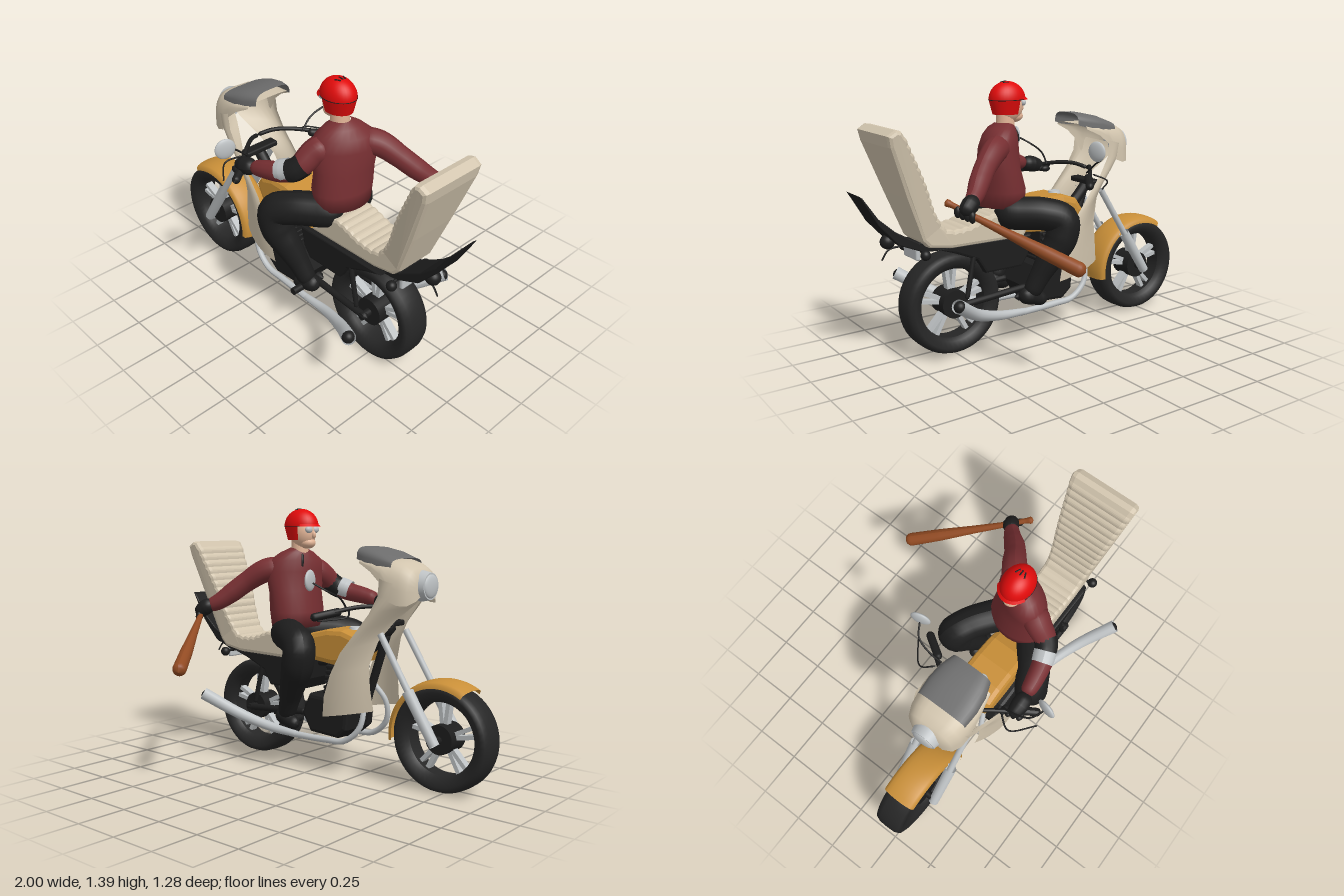
import * as THREE from 'three';
import { RoundedBoxGeometry } from 'three/addons/geometries/RoundedBoxGeometry.js';

const V = (x, y, z) => new THREE.Vector3(x, y, z);
const mat = (name, color, side = THREE.FrontSide) => {
  const m = new THREE.MeshStandardMaterial({ color, side });
  m.name = name;
  return m;
};

// Sheet or closed skin through rows of points
function grid(rows, closed = false) {
  const n = rows[0].length, idx = [];
  for (let i = 0; i < rows.length - 1; i++)
    for (let j = 0; j < (closed ? n : n - 1); j++) {
      const k = (j + 1) % n, a = i * n + j, b = i * n + k, c = a + n, d = b + n;
      idx.push(a, c, b, b, c, d);
    }
  const g = new THREE.BufferGeometry().setFromPoints(rows.flat());
  g.setIndex(idx);
  g.computeVertexNormals();
  return g;
}

// Tube with changing radius: points are [x, y, z, r], ends rounded
function limbGeo(pts, round = true, sides = 14, n = 32) {
  const curve = new THREE.CatmullRomCurve3(pts.map(p => V(p[0], p[1], p[2])));
  const g = new THREE.TubeGeometry(curve, n, 1, sides), pos = g.attributes.position, v = V(), len = curve.getLength();
  for (let i = 0; i <= n; i++) {
    const t = i / n, c = curve.getPointAt(t), f = curve.getUtoTmapping(t) * (pts.length - 1);
    const k = Math.min(Math.floor(f), pts.length - 2);
    let r = THREE.MathUtils.lerp(pts[k][3], pts[k + 1][3], f - k);
    const e = Math.min(1, Math.min(t, 1 - t) * len / r);
    if (round) r *= Math.max(0.01, Math.sqrt(1 - (1 - e) ** 2));
    for (let j = 0; j <= sides; j++) {
      v.fromBufferAttribute(pos, i * (sides + 1) + j).sub(c).multiplyScalar(r).add(c);
      pos.setXYZ(i * (sides + 1) + j, v.x, v.y, v.z);
    }
  }
  g.computeVertexNormals();
  return g;
}

// Side profile extruded about z = 0
function plate(pts, half, bevel = 0.012) {
  const g = new THREE.ExtrudeGeometry(new THREE.Shape(pts.map(p => new THREE.Vector2(...p))),
    { depth: 2 * (half - bevel), bevelSize: bevel, bevelThickness: bevel, bevelOffset: -bevel, bevelSegments: 2 });
  return g.translate(0, 0, bevel - half);
}

export function createModel() {
  const D = THREE.DoubleSide;
  const beige = mat('beige', 0xd2c5ae, D), black = mat('black', 0x1d1d1d, D), tyreMat = mat('tyre', 0x262626),
    mustard = mat('mustard', 0xc98f38, D), silver = mat('silver', 0xbec2c4, D), screenMat = mat('smoke grey', 0x6c6c6c, D),
    red = mat('red', 0xe00b0b, D), maroon = mat('maroon', 0x772f32), skin = mat('skin', 0xe2b496), wood = mat('wood', 0x914a22);
  const model = new THREE.Group(), bike = new THREE.Group(), rider = new THREE.Group();
  bike.name = 'motorcycle'; rider.name = 'rider';
  bike.position.z = 0.215;
  model.add(bike, rider);
  const add = (parent, name, geo, m, x = 0, y = 0, z = 0) => {
    const o = new THREE.Mesh(geo, m);
    o.name = name; o.position.set(x, y, z); parent.add(o);
    return o;
  };
  const limb = (parent, name, m, pts, round, sides, n) => add(parent, name, limbGeo(pts, round, sides, n), m);
  const across = (r, len, n = 24) => new THREE.CylinderGeometry(r, r, len, n).rotateX(Math.PI / 2);
  const ball = (r, sx = 1, sy = 1, sz = 1) => new THREE.SphereGeometry(r, 24, 16).scale(sx, sy, sz);
  const box = (w, h, d, r = 0.01) => new RoundedBoxGeometry(w, h, d, 2, r);

  // Wheels with five double spokes
  for (const [name, x] of [['frontWheel', -0.73], ['rearWheel', 0.5]]) {
    const w = new THREE.Group();
    w.name = name; w.position.set(x, 0.27, 0); bike.add(w);
    const prof = [[0.185, -0.04], [0.2, -0.065], [0.235, -0.081], [0.258, -0.072], [0.268, -0.045], [0.27, 0], [0.268, 0.045],
      [0.258, 0.072], [0.235, 0.081], [0.2, 0.065], [0.185, 0.04], [0.185, -0.04]].map(p => new THREE.Vector2(...p));
    add(w, 'tyre', new THREE.LatheGeometry(prof, 48).rotateX(Math.PI / 2), tyreMat);
    add(w, 'hub', across(0.075, 0.13), black);
    add(w, 'axle', across(0.02, 0.24), black);
    for (let i = 0; i < 10; i++) {
      const a = (Math.floor(i / 2) / 5) * Math.PI * 2 + Math.PI / 2 + (i % 2 ? 0.13 : -0.13);
      add(w, 'spoke', new THREE.BoxGeometry(0.14, 0.022, 0.04).translate(0.12, 0, 0), silver).rotation.z = a;
    }
  }

  // Front fender
  const fender = [];
  for (let i = 0; i <= 24; i++) {
    const a = THREE.MathUtils.degToRad(120 - 127 * i / 24), row = [];
    for (let j = 0; j <= 10; j++) {
      const b = Math.PI * j / 10, r = 0.262 + 0.038 * Math.sin(b) ** 0.6;
      row.push(V(-0.73 + r * Math.cos(a), 0.265 + r * Math.sin(a), 0.092 * Math.cos(b)));
    }
    fender.push(row);
  }
  add(bike, 'frontFender', grid(fender), mustard);

  // Head cowl and smoked screen, arched sections [x, top, bottom, half width]
  const arch = (rows, pow) => grid(rows.map(([x, t, b, h]) => Array.from({ length: 17 }, (_, j) => {
    const a = Math.PI * j / 16, c = Math.cos(a), s = Math.sin(a);
    return V(x, b + (t - b) * s ** pow, h * Math.sign(c) * Math.abs(c) ** pow);
  })));
  add(bike, 'headCowl', arch([[-0.605, 0.99, 0.98, 0.01], [-0.6, 1.06, 0.94, 0.09], [-0.575, 1.1, 0.92, 0.13],
    [-0.53, 1.125, 0.92, 0.15], [-0.48, 1.14, 0.94, 0.156], [-0.43, 1.14, 1.03, 0.157], [-0.37, 1.14, 1.08, 0.15], [-0.29, 1.14, 1.12, 0.135]], 0.6), beige);
  add(bike, 'windscreen', arch([[-0.485, 1.145, 1.105, 0.135], [-0.4, 1.18, 1.11, 0.14], [-0.32, 1.198, 1.12, 0.132], [-0.255, 1.202, 1.14, 0.108]], 0.6), screenMat);
  add(bike, 'headlampBezel', new THREE.CylinderGeometry(0.067, 0.078, 0.05, 28).rotateZ(Math.PI / 2), silver, -0.605, 1.012);
  add(bike, 'headlampLens', ball(0.06, 0.3), silver, -0.628, 1.012);

  // Leg shields on both sides, rows of [front x, y, z, rear x, y, z]
  const shield = [[-0.375, 0.37, 0.115, -0.085, 0.31, 0.17], [-0.36, 0.48, 0.125, -0.1, 0.42, 0.178], [-0.35, 0.6, 0.125, -0.14, 0.54, 0.178],
    [-0.39, 0.73, 0.1, -0.2, 0.66, 0.17], [-0.46, 0.83, 0.06, -0.29, 0.77, 0.163], [-0.54, 0.91, 0.02, -0.37, 0.87, 0.158],
    [-0.59, 0.96, 0, -0.42, 0.96, 0.156], [-0.6, 1.0, 0, -0.43, 1.05, 0.156]];
  for (const s of [1, -1]) {
    add(bike, 'legShield', grid(shield.map(([a, b, c, d, e, f]) => Array.from({ length: 9 }, (_, j) => {
      const t = j / 8;
      return V(a + (d - a) * t, b + (e - b) * t, s * (c + (f - c) * t + (0.1 + 1.2 * (0.125 - Math.min(c, 0.125))) * t * (1 - t)));
    }))), beige);
    // Fork legs
    limb(bike, 'forkSlider', silver, [[-0.74, 0.25, s * 0.115, 0.026], [-0.58, 0.5, s * 0.115, 0.03]], false);
    limb(bike, 'forkTube', silver, [[-0.6, 0.47, s * 0.115, 0.017], [-0.41, 0.77, s * 0.112, 0.017]], false);
    // Handlebar, grip, lever and mirror
    limb(bike, 'handlebar', black, [[-0.4, 0.88, 0, 0.011], [-0.36, 0.9, s * 0.07, 0.011], [-0.3, 0.9, s * 0.15, 0.011], [-0.15, 0.85, s * 0.35, 0.011]]);
    limb(bike, 'grip', black, [[-0.24, 0.88, s * 0.21, 0.021], [-0.15, 0.85, s * 0.345, 0.021]]);
    limb(bike, 'lever', black, [[-0.28, 0.885, s * 0.2, 0.005], [-0.32, 0.86, s * 0.27, 0.004], [-0.21, 0.84, s * 0.37, 0.004]], true, 8);
    limb(bike, 'mirrorStalk', black, [[-0.25, 0.89, s * 0.18, 0.005], [-0.26, 0.95, s * 0.25, 0.005], [-0.24, 0.99, s * 0.33, 0.005], [-0.18, 1.03, s * 0.37, 0.005]], true, 8);
    add(bike, 'mirror', ball(0.053, 0.3), silver, -0.17, 1.04, s * 0.373).rotation.y = -s * 0.25;
    // Exhaust
    limb(bike, 'exhaustPipe', silver, [[-0.22, 0.5, s * 0.06, 0.014], [-0.3, 0.38, s * 0.1, 0.014], [-0.29, 0.27, s * 0.12, 0.015],
      [-0.2, 0.19, s * 0.13, 0.016], [-0.08, 0.177, s * 0.13, 0.017], [0.16, 0.175, s * 0.14, 0.018]], false);
    limb(bike, 'muffler', silver, [[0.12, 0.176, s * 0.138, 0.018], [0.28, 0.19, s * 0.15, 0.025], [0.46, 0.25, s * 0.22, 0.031], [0.64, 0.365, s * 0.34, 0.035]], false);
    add(bike, 'mufflerOutlet', ball(0.031), black, 0.625, 0.355, s * 0.33);
    // Swing arm, damper, peg and rear indicator
    limb(bike, 'swingArm', black, [[0.08, 0.3, s * 0.1, 0.018], [0.53, 0.27, s * 0.105, 0.018]]);
    limb(bike, 'damper', black, [[0.46, 0.3, s * 0.11, 0.012], [0.4, 0.56, s * 0.1, 0.014]], true, 12);
    add(bike, 'footPeg', across(0.019, 0.12), black, 0.12, 0.265, s * 0.17);
    add(bike, 'indicator', ball(0.026), black, 0.69, 0.575, s * 0.118);
    add(bike, 'indicatorArm', across(0.008, 0.06, 10), black, 0.68, 0.58, s * 0.08);
  }
  add(bike, 'forkBridge', box(0.06, 0.03, 0.2), black, -0.385, 0.81);

  // Tank and cap
  const tank = plate([[-0.29, 0.68], [-0.25, 0.74], [-0.16, 0.768], [-0.06, 0.765], [0.06, 0.735], [0.13, 0.69], [0.14, 0.6], [-0.1, 0.575], [-0.25, 0.6]], 0.115, 0.03);
  add(bike, 'fuelTank', tank, mustard);
  add(bike, 'fuelCap', new THREE.CylinderGeometry(0.03, 0.036, 0.014, 20), silver, -0.17, 0.77);

  // Engine and frame
  add(bike, 'crankcase', plate([[-0.2, 0.24], [-0.21, 0.33], [-0.13, 0.4], [0.05, 0.41], [0.1, 0.3], [0.04, 0.2], [-0.14, 0.19]], 0.125, 0.02), black);
  for (let i = 0; i < 6; i++) add(bike, 'coolingFin', box(0.17, 0.018, 0.17, 0.006), black, -0.1 - i * 0.004, 0.42 + i * 0.028);
  add(bike, 'cylinderBlock', box(0.165, 0.2, 0.14), black, -0.11, 0.48);
  limb(bike, 'spine', black, [[-0.42, 0.82, 0, 0.03], [-0.25, 0.66, 0, 0.03], [0.1, 0.57, 0, 0.03], [0.55, 0.58, 0, 0.03]]);
  limb(bike, 'downTube', black, [[-0.38, 0.78, 0, 0.022], [-0.27, 0.45, 0, 0.022], [-0.18, 0.22, 0, 0.022], [0.1, 0.21, 0, 0.022]]);
  add(bike, 'sidePanels', plate([[0.06, 0.59], [0.62, 0.59], [0.52, 0.555], [0.39, 0.5], [0.34, 0.42], [0.12, 0.42], [0.08, 0.48]], 0.115), black);

  // Tail
  add(bike, 'rearFender', plate([[0.3, 0.52], [0.42, 0.56], [0.68, 0.58], [0.81, 0.635], [0.91, 0.745], [1.0, 0.9], [0.985, 0.89], [0.91, 0.78], [0.82, 0.7], [0.7, 0.63], [0.3, 0.6]], 0.077, 0.005), black);
  add(bike, 'tailPanel', box(0.025, 0.075, 0.145), silver, 0.705, 0.575);
  add(bike, 'tailLamp', ball(0.037), black, 0.835, 0.642);
  limb(bike, 'tailHook', black, [[0.74, 0.61, 0, 0.006], [0.83, 0.6, 0, 0.005], [0.87, 0.55, 0, 0.004]], true, 8);

  // Ribbed seat with tall backrest, flared towards the top
  const path = new THREE.CatmullRomCurve3([[0.12, 0.7], [0.22, 0.73], [0.33, 0.725], [0.46, 0.685], [0.57, 0.69], [0.63, 0.77], [0.7, 0.95], [0.81, 1.18]].map(p => V(...p, 0)));
  const outline = [];
  for (let i = 0; i <= 120; i++) {
    const p = path.getPointAt(i / 120), t = path.getTangentAt(i / 120), k = 0.006 * Math.abs(Math.sin(i / 120 * Math.PI * 24)) - 0.003;
    outline.push([p.x - t.y * k, p.y + t.x * k]);
  }
  outline.push([0.83, 1.205], [0.86, 1.21], [0.9, 1.185], [0.89, 1.13], [0.8, 0.88], [0.71, 0.65], [0.67, 0.61], [0.55, 0.59], [0.12, 0.585], [0.1, 0.62]);
  const seat = plate(outline.reverse(), 0.12, 0.018), sp = seat.attributes.position;
  for (let i = 0; i < sp.count; i++) {
    const y = sp.getY(i), x = sp.getX(i);
    const half = y > 0.7 && x > 0.6 ? 0.115 + (y - 0.7) * 0.145 : 0.115;
    sp.setZ(i, sp.getZ(i) * half / 0.12);
  }
  seat.computeVertexNormals();
  add(bike, 'seat', seat, beige, 0, 0, -0.021);

  // Torso: rings of [y, x, z, half depth, half width, twist]
  const torso = [[0.74, 0.21, 0.18, 0.02, 0.02, 0], [0.76, 0.21, 0.18, 0.12, 0.155, 0], [0.84, 0.205, 0.178, 0.125, 0.165, 0.1], [0.95, 0.215, 0.175, 0.112, 0.155, 0.3],
    [1.06, 0.215, 0.172, 0.105, 0.165, 0.5], [1.12, 0.207, 0.17, 0.092, 0.145, 0.5], [1.16, 0.197, 0.168, 0.07, 0.095, 0.4], [1.185, 0.185, 0.166, 0.045, 0.045, 0]];
  add(rider, 'jacket', grid(torso.map(([y, x, z, d, w, t]) => Array.from({ length: 24 }, (_, j) => {
    const a = j / 12 * Math.PI, p = d * Math.cos(a), q = w * Math.sin(a);
    return V(x + p * Math.cos(t) - q * Math.sin(t), y, z + p * Math.sin(t) + q * Math.cos(t));
  })), true), maroon);
  limb(rider, 'collarSlit', black, [[0.138, 1.155, 0.142, 0.008], [0.125, 1.12, 0.13, 0.008], [0.12, 1.085, 0.124, 0.004]], true, 8);

  // Arm on the handlebar with elbow pad
  limb(rider, 'leftSleeve', maroon, [[0.19, 1.08, 0.24, 0.075], [0.15, 1.045, 0.31, 0.066], [0.12, 0.98, 0.385, 0.054], [0.06, 0.945, 0.42, 0.052], [-0.05, 0.92, 0.445, 0.046], [-0.14, 0.9, 0.455, 0.036]]);
  limb(rider, 'elbowPad', black, [[0.138, 1.0, 0.365, 0.06], [0.11, 0.97, 0.395, 0.058], [0.08, 0.953, 0.41, 0.056]], false);
  limb(rider, 'elbowPlate', silver, [[0.085, 0.963, 0.408, 0.057], [0.055, 0.952, 0.42, 0.057], [0.03, 0.944, 0.428, 0.054]], false);
  limb(rider, 'leftGlove', black, [[-0.12, 0.9, 0.455, 0.04], [-0.19, 0.888, 0.46, 0.046], [-0.26, 0.87, 0.455, 0.03]]);
  // Arm reaching back with the bat
  limb(rider, 'rightSleeve', maroon, [[0.24, 1.075, 0.11, 0.07], [0.32, 1.06, 0.045, 0.064], [0.405, 1.0, -0.01, 0.055], [0.47, 0.94, -0.06, 0.053], [0.525, 0.89, -0.11, 0.044], [0.58, 0.86, -0.15, 0.034]]);
  limb(rider, 'rightGlove', black, [[0.54, 0.885, -0.13, 0.037], [0.58, 0.86, -0.155, 0.043], [0.63, 0.82, -0.175, 0.036]]);
  for (let i = 0; i < 4; i++) {
    add(rider, 'rightFinger', ball(0.018, 1, 1.6, 1), black, 0.635 - i * 0.014, 0.83 - i * 0.007, -0.135 - i * 0.02);
    add(rider, 'leftFinger', ball(0.018, 1.6, 1, 1), black, -0.25 + i * 0.008, 0.862, 0.41 + i * 0.027);
  }
  limb(rider, 'bat', wood, [[0.67, 0.872, -0.075, 0.024], [0.65, 0.86, -0.105, 0.014], [0.58, 0.81, -0.2, 0.015], [0.48, 0.74, -0.34, 0.022], [0.38, 0.67, -0.48, 0.032], [0.27, 0.594, -0.635, 0.036]], true, 16, 90);

  // Legs
  for (const s of [1, -1]) {
    const z = d => 0.177 + s * d;
    limb(rider, 'trouserLeg', black, [[0.27, 0.73, z(0.04), 0.08], [0.18, 0.725, z(0.11), 0.088], [0.06, 0.72, z(0.2), 0.086], [-0.02, 0.685, z(0.245), 0.086],
      [-0.01, 0.59, z(0.245), 0.086], [0.03, 0.51, z(0.225), 0.074], [0.085, 0.4, z(0.195), 0.056], [0.14, 0.28, z(0.17), 0.045]], true, 18, 50);
    limb(rider, 'boot', black, [[0.2, 0.29, z(0.165), 0.042], [0.14, 0.285, z(0.17), 0.046], [0.09, 0.265, z(0.177), 0.038], [0.04, 0.255, z(0.185), 0.03]]);
  }

  // Head, goggles and helmet
  add(rider, 'neck', new THREE.CylinderGeometry(0.044, 0.05, 0.1, 18), skin, 0.175, 1.195, 0.166);
  add(rider, 'face', ball(0.075, 1, 1.1, 0.82), skin, 0.152, 1.262, 0.165);
  add(rider, 'jaw', ball(0.045, 1.05, 0.7, 0.95), skin, 0.122, 1.212, 0.165);
  add(rider, 'nose', ball(0.014, 1.1, 1.4, 0.8), skin, 0.078, 1.255, 0.165);
  for (const s of [1, -1]) add(rider, 'goggleLens', ball(0.024, 0.7, 0.8, 1), silver, 0.088, 1.283, 0.165 + s * 0.027);
  add(rider, 'helmetShell', new THREE.SphereGeometry(0.1, 32, 14, 0, Math.PI * 2, 0, Math.PI / 2).scale(1, 0.92, 0.79), red, 0.163, 1.3, 0.165);
  add(rider, 'helmetSkirt', new THREE.CylinderGeometry(0.1, 0.08, 0.075, 32, 1, true, -0.35, Math.PI + 0.7).scale(1, 1, 0.79), red, 0.163, 1.264, 0.165);
  add(rider, 'helmetTrim', new THREE.TorusGeometry(0.1, 0.002, 6, 40).rotateX(Math.PI / 2).scale(1, 1, 0.79), black, 0.163, 1.3, 0.165);
  add(rider, 'helmetPeak', new THREE.CylinderGeometry(0.1, 0.112, 0.012, 24, 1, true, Math.PI + 0.5, Math.PI - 1).scale(1, 1, 0.79), red, 0.163, 1.305, 0.165);
  for (const s of [1, 0, -1]) add(rider, 'helmetVent', box(0.03, 0.006, 0.007, 0.002), black, 0.18, s ? 1.387 : 1.391, 0.165 + s * 0.02).rotation.y = s * 0.4;
  return model;
}
